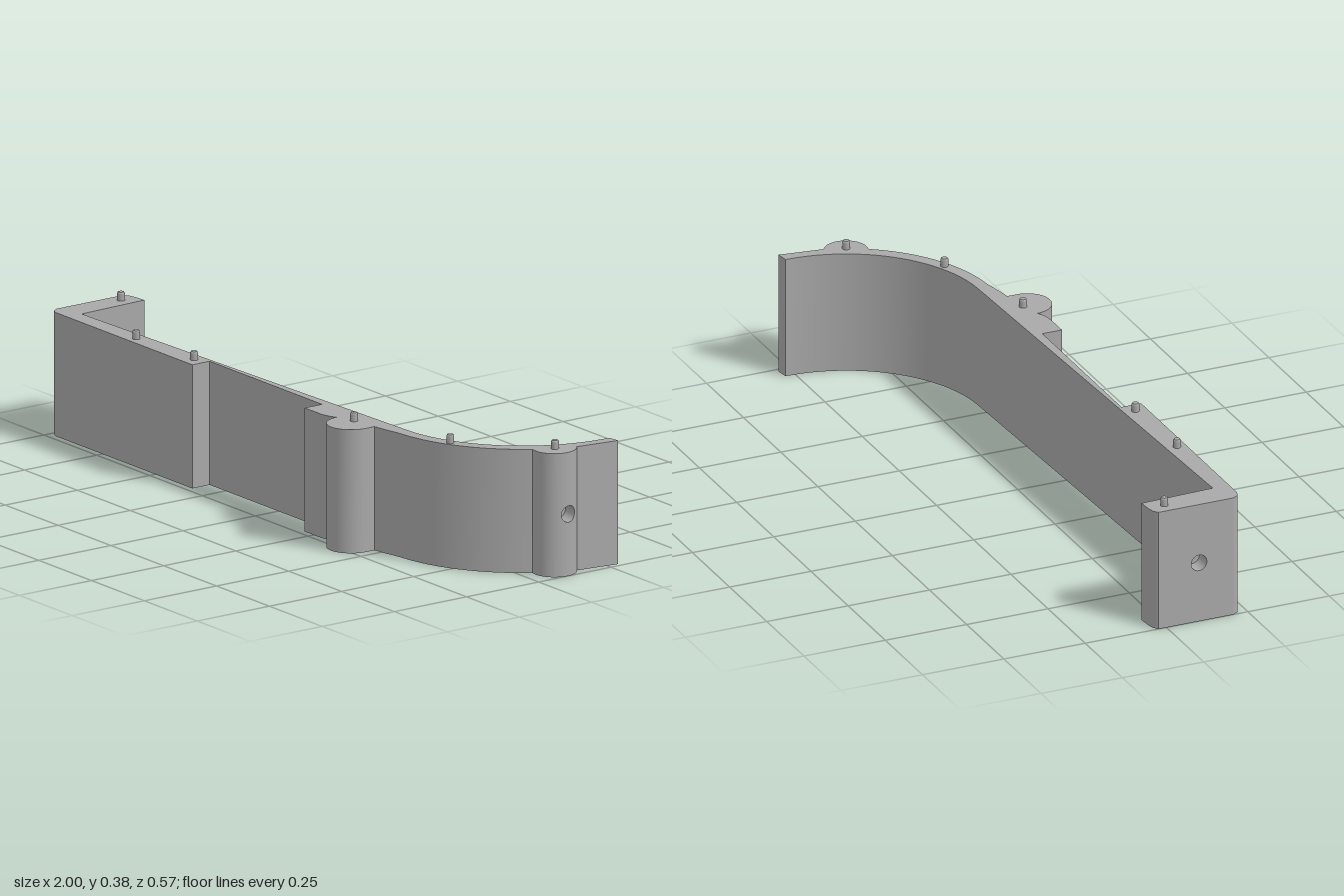
import * as THREE from 'three';
import { mergeGeometries, toCreasedNormals } from 'three/addons/utils/BufferGeometryUtils.js';

const H = 0.36;
const pegSpots = [[-0.963, 0.01], [-0.628, 0.202], [-0.364, 0.195], [0.392, 0.195], [0.728, 0.107], [0.947, -0.095]];
const boss = { x: 0.937, z: -0.1, r: 0.063 };

// points [x, z] on a circle, angles in degrees from +x towards +z
function arc(cx, cz, r, from, to, n) {
  return Array.from({ length: n + 1 }, (_, i) => {
    const a = THREE.MathUtils.degToRad(from + (to - from) * i / n);
    return [cx + r * Math.cos(a), cz + r * Math.sin(a)];
  });
}

function fromPositions(list) {
  const g = new THREE.BufferGeometry();
  g.setAttribute('position', new THREE.Float32BufferAttribute(list, 3));
  return g;
}

function positionsOnly(g) {
  const flat = g.index ? g.toNonIndexed() : g;
  flat.deleteAttribute('normal');
  flat.deleteAttribute('uv');
  return flat;
}

function quad(out, a, b, c, d) {
  out.push(...a, ...b, ...c, ...a, ...c, ...d);
}

// full-height wall panel facing +x or -x with a blind round bore in it
function boredPanel(z0, z1, surfaceX, holeZ, side) {
  const r = 0.024, depth = 0.05, holeY = 0.18, n = 48, steps = 8;
  const floorX = surfaceX(holeZ) - side * depth;
  const rows = Array.from({ length: steps + 3 }, () => []);
  for (let i = 0; i <= n; i++) {
    const k = i % n, f = (k % 12) / 6 - 1;
    const [u, v] = [[1, f], [-f, 1], [-1, -f], [f, -1]][Math.floor(k / 12)];
    const a = -Math.PI / 4 + k / n * Math.PI * 2;
    const hz = holeZ + r * Math.cos(a), hy = holeY + r * Math.sin(a);
    const oz = (z0 + z1) / 2 + u * (z1 - z0) / 2, oy = H / 2 + v * H / 2;
    for (let s = 0; s <= steps; s++) {
      const z = oz + (hz - oz) * s / steps;
      rows[s].push([surfaceX(z), oy + (hy - oy) * s / steps, z]);
    }
    rows[steps + 1].push([floorX, hy, hz]);
    rows[steps + 2].push([floorX, holeY, holeZ]);
  }
  const out = [];
  for (let s = 0; s < rows.length - 1; s++) {
    for (let i = 0; i < n; i++) {
      const q = [rows[s][i], rows[s][i + 1], rows[s + 1][i + 1], rows[s + 1][i]];
      quad(out, ...(side > 0 ? q.reverse() : q));
    }
  }
  return fromPositions(out);
}

function bodyGeometry() {
  // plan outline, counter-clockwise seen from above
  const outline = [
    [-1, 0.205], [-0.99, 0.223], [-0.97, 0.23], [-0.325, 0.23], [-0.325, 0.17],
    [0.207, 0.17], [0.207, 0.23], [0.285, 0.23], [0.312, 0.225],
    ...arc(0.404, 0.214, 0.069, 180, 0, 28),
    [0.473, 0.183], [0.52, 0.176],
    ...arc(0.54, -0.28, 0.447, 86, 32.5, 24),
    ...arc(boss.x, boss.z, boss.r, 105, 36, 12),
  ];
  const bossPanel = outline.length - 1;
  outline.push(
    ...arc(boss.x, boss.z, boss.r, -36, -60, 5),
    [0.987, -0.285],
    ...arc(0.54, -0.28, 0.41, 0, 88, 36),
    [-0.917, 0.18], [-0.925, -0.043], [-0.965, -0.04], [-0.985, -0.036], [-1, -0.025],
  );
  const endPanel = outline.length - 1;

  // side walls, leaving gaps for the two bored panels
  const walls = [];
  outline.forEach(([ax, az], i) => {
    if (i === bossPanel || i === endPanel) return;
    const [bx, bz] = outline[(i + 1) % outline.length];
    quad(walls, [ax, 0, az], [bx, 0, bz], [bx, H, bz], [ax, H, az]);
  });

  // the boss cap follows the curve of its bored panel
  const full = outline.slice();
  full.splice(bossPanel + 1, 0, ...arc(boss.x, boss.z, boss.r, 36, -36, 12).slice(1, -1));
  const top = new THREE.Shape(full.map(([x, z]) => new THREE.Vector2(x, -z)));
  const bottom = new THREE.Shape(full.map(([x, z]) => new THREE.Vector2(x, z)));
  for (const [x, z] of pegSpots) {
    bottom.holes.push(new THREE.Path(arc(x, z, 0.012, 0, 345, 23).map(p => new THREE.Vector2(...p))));
  }

  // blind sockets under the pegs
  const sockets = pegSpots.map(([x, z]) => new THREE.LatheGeometry(
    [[0, 0.03], [0.012, 0.03], [0.012, 0]].map(p => new THREE.Vector2(...p)), 24).translate(x, 0, z));

  const merged = mergeGeometries([
    fromPositions(walls),
    new THREE.ShapeGeometry(top).rotateX(-Math.PI / 2).translate(0, H, 0),
    new THREE.ShapeGeometry(bottom).rotateX(Math.PI / 2),
    boredPanel(-0.025, 0.205, () => -1, 0.1, -1),
    boredPanel(boss.z - boss.r * Math.sin(Math.PI / 5), boss.z + boss.r * Math.sin(Math.PI / 5),
      z => boss.x + Math.sqrt(boss.r ** 2 - (z - boss.z) ** 2), -0.105, 1),
    ...sockets,
  ].map(positionsOnly));
  // enlarged while creasing so that close vertices stay distinct
  return toCreasedNormals(merged.scale(100, 100, 100), 0.45).scale(0.01, 0.01, 0.01);
}

export function createModel() {
  const model = new THREE.Group();
  model.name = 'curvedWallSection';
  const grey = new THREE.MeshStandardMaterial({ color: 0xa8a8a8 });
  grey.name = 'plain grey';

  const body = new THREE.Mesh(bodyGeometry(), grey);
  body.name = 'wallBody';
  model.add(body);

  // locating pegs on the top edge
  const profile = [[0.011, 0], [0.011, 0.021], [0.0085, 0.025], [0, 0.025]];
  const pegGeometry = toCreasedNormals(
    new THREE.LatheGeometry(profile.map(p => new THREE.Vector2(...p)), 24).scale(100, 100, 100), 0.45
  ).scale(0.01, 0.01, 0.01);
  pegSpots.forEach(([x, z], i) => {
    const peg = new THREE.Mesh(pegGeometry, grey);
    peg.name = `locatingPeg${i + 1}`;
    peg.position.set(x, H, z);
    model.add(peg);
  });
  return model;
}
